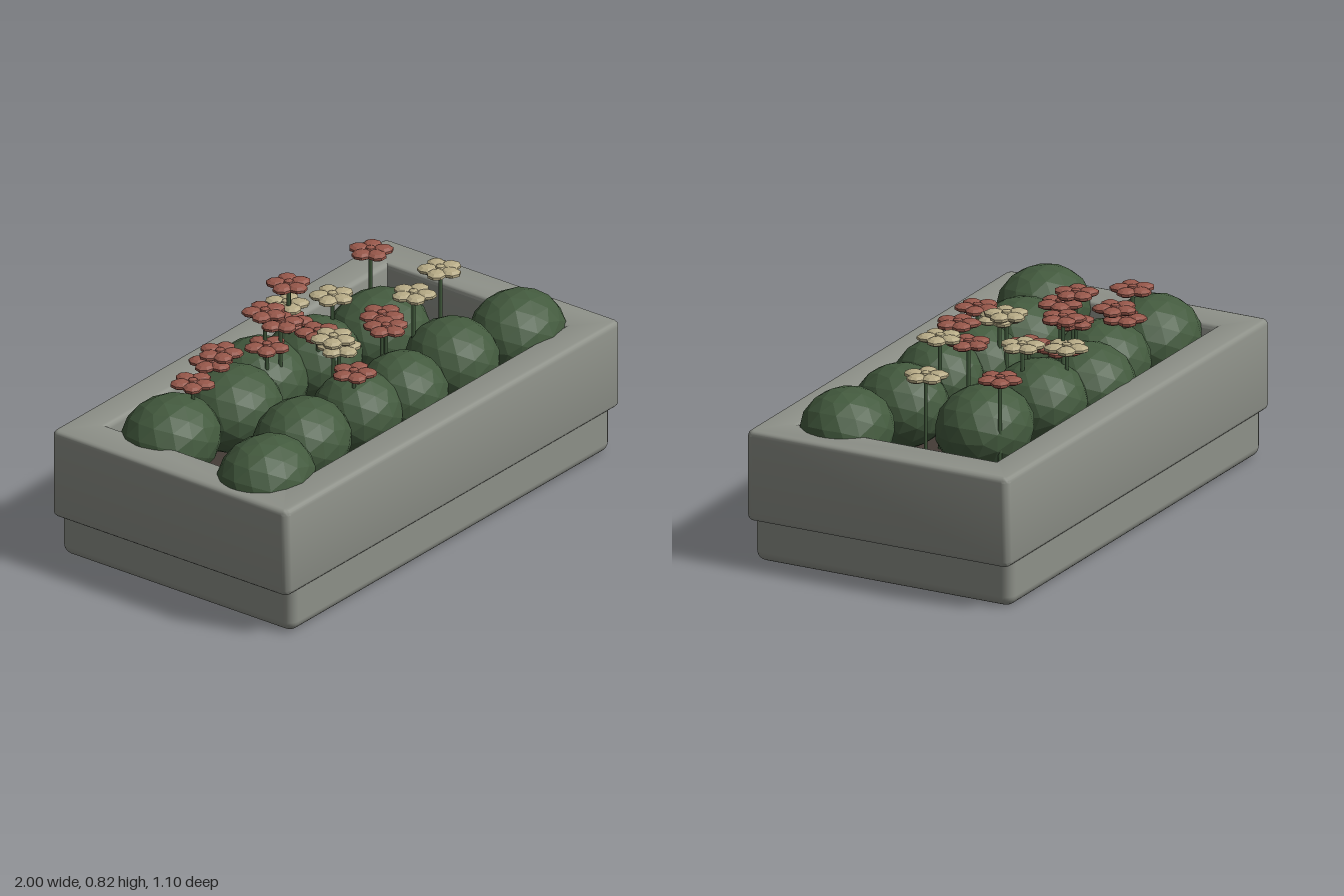
import * as THREE from 'three';
import { RoundedBoxGeometry } from 'three/addons/geometries/RoundedBoxGeometry.js';
import { toCreasedNormals } from 'three/addons/utils/BufferGeometryUtils.js';

const mat = (name, color, flatShading = false) => {
  const m = new THREE.MeshStandardMaterial({ color, flatShading });
  m.name = name;
  return m;
};

// Rectangle outline with rounded corners, half sizes a and b
function roundedRect(path, a, b, r) {
  path.absarc(a - r, b - r, r, 0, Math.PI / 2);
  path.absarc(-a + r, b - r, r, Math.PI / 2, Math.PI);
  path.absarc(-a + r, -b + r, r, Math.PI, Math.PI * 1.5);
  path.absarc(a - r, -b + r, r, Math.PI * 1.5, Math.PI * 2);
  path.closePath();
  return path;
}

export function createModel() {
  const model = new THREE.Group();
  model.name = 'planter';
  const stone = mat('stone', 0x8e9189);
  const soilMat = mat('soil', 0x443c36);
  const leaf = mat('leaf green', 0x435a3e, true);
  const stemMat = mat('stem green', 0x435c3e);
  const red = mat('red petals', 0x98584b, true);
  const cream = mat('cream petals', 0xb8ac87, true);

  const add = (parent, name, geometry, material, x, y, z) => {
    const mesh = new THREE.Mesh(geometry, material);
    mesh.name = name;
    mesh.position.set(x, y, z);
    parent.add(mesh);
    return mesh;
  };

  // Stone trough: recessed foot and a hollow upper body with softened edges
  add(model, 'foot', new RoundedBoxGeometry(1.915, 0.31, 1.08, 3, 0.04), stone, 0, 0.155, 0);
  const outline = roundedRect(new THREE.Shape(), 0.98, 0.53, 0.01);
  outline.holes.push(roundedRect(new THREE.Path(), 0.855, 0.43, 0.004));
  const body = new THREE.ExtrudeGeometry(outline, {
    depth: 0.31, bevelThickness: 0.02, bevelSize: 0.02, bevelSegments: 3, curveSegments: 3,
  });
  body.rotateX(-Math.PI / 2);
  add(model, 'troughBody', toCreasedNormals(body, 0.7), stone, 0, 0.19, 0);
  add(model, 'soil', new THREE.BoxGeometry(1.7, 0.04, 0.85), soilMat, 0, 0.3, 0);

  // Bushes: x, z, radius across, radius deep, top height
  const bushes = [
    [-0.77, 0.275, 0.205, 0.172, 0.65], [-0.44, 0.185, 0.2, 0.175, 0.645],
    [-0.13, 0.2, 0.18, 0.17, 0.64], [0.09, 0.24, 0.175, 0.17, 0.645],
    [0.41, 0.22, 0.18, 0.178, 0.65], [0.735, 0.27, 0.2, 0.172, 0.65],
    [-0.71, -0.215, 0.205, 0.177, 0.64], [-0.38, -0.185, 0.2, 0.18, 0.64],
    [-0.14, -0.25, 0.195, 0.185, 0.64], [0.11, -0.19, 0.19, 0.18, 0.645],
    [0.44, -0.145, 0.212, 0.177, 0.64],
  ];
  const bushGeometry = new THREE.IcosahedronGeometry(1, 2);
  bushes.forEach(([x, z, rx, rz, top], i) => {
    const bush = add(model, 'bush', bushGeometry, leaf, x, top - 0.16, z);
    bush.scale.set(rx, 0.16, rz);
    bush.rotation.y = (i % 2) * Math.PI;
  });

  // Flowers: a thin stem with five flattened petals around a button
  const petal = new THREE.SphereGeometry(1, 8, 5);
  petal.scale(0.042, 0.016, 0.038);
  const button = new THREE.SphereGeometry(1, 8, 4);
  button.scale(0.024, 0.018, 0.024);
  const flower = (x, y, z, material, turn) => {
    const group = new THREE.Group();
    group.name = 'flower';
    group.position.set(x, 0, z);
    const height = y - 0.31;
    add(group, 'stem', new THREE.CylinderGeometry(0.008, 0.008, height, 6), stemMat, 0, 0.31 + height / 2, 0);
    for (let i = 0; i < 5; i++) {
      const a = turn + (i / 5) * Math.PI * 2;
      const p = add(group, 'petal', petal, material, Math.cos(a) * 0.046, y, Math.sin(a) * 0.046);
      p.rotation.y = -a;
    }
    add(group, 'button', button, material, 0, y + 0.002, 0);
    model.add(group);
  };

  const redSpots = [
    [-0.63, 0.685, -0.175], [-0.41, 0.655, -0.26], [-0.39, 0.695, -0.235],
    [-0.2, 0.805, -0.175], [-0.17, 0.765, -0.125], [-0.22, 0.68, -0.15],
    [0.045, 0.798, -0.255], [0.02, 0.665, -0.23], [0.015, 0.66, -0.095],
    [0.56, 0.725, -0.275], [0.21, 0.7, 0.05], [0.1, 0.725, 0.155],
    [-0.195, 0.68, 0.235],
  ];
  const creamSpots = [
    [0.19, 0.72, -0.165], [0.07, 0.697, -0.285], [-0.08, 0.72, 0.05],
    [-0.09, 0.695, 0.085], [0.335, 0.752, 0.1], [0.62, 0.71, 0.003],
  ];
  redSpots.forEach(([x, y, z], i) => flower(x, y, z, red, i * 0.5));
  creamSpots.forEach(([x, y, z], i) => flower(x, y, z, cream, 0.3 + i * 0.5));

  return model;
}
